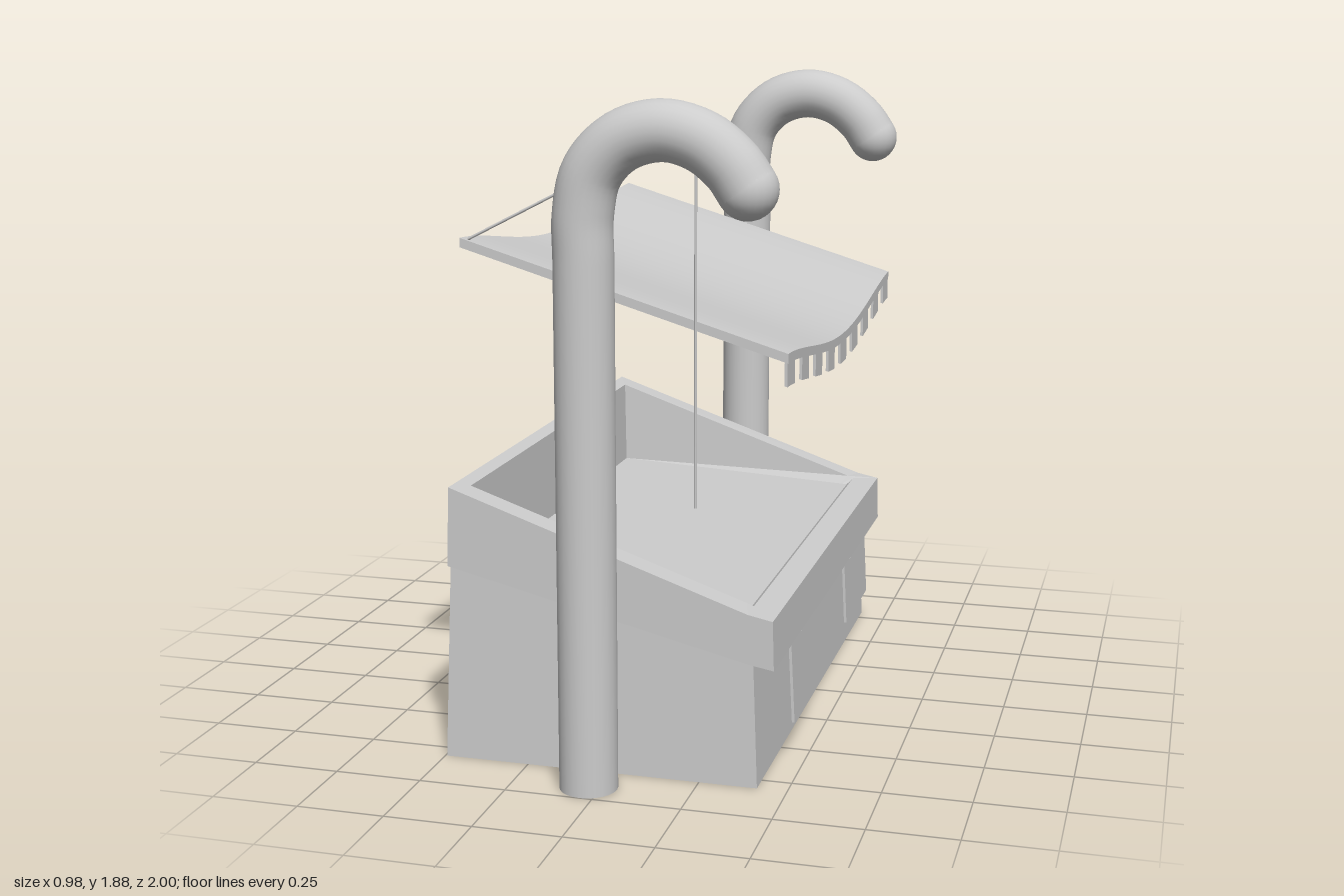
import * as THREE from 'three';

const material = new THREE.MeshStandardMaterial({ color: 0xcccccc });

function add(parent, name, geometry) {
  const mesh = new THREE.Mesh(geometry, material);
  mesh.name = name;
  parent.add(mesh);
  return mesh;
}

// Flat-shaded solid through rings, each given as a back, middle and front [x, y] plus a half width
function loft(rings) {
  const position = [];
  const index = [];
  for (const [back, mid, front, z] of rings) {
    for (const p of [back, mid, front]) position.push(p[0], p[1], z);
    for (const p of [front, mid, back]) position.push(p[0], p[1], -z);
  }
  for (let r = 0; r < rings.length - 1; r++) {
    for (let i = 0; i < 6; i++) {
      const a = r * 6 + i, b = r * 6 + (i + 1) % 6;
      index.push(a, b, b + 6, a, b + 6, a + 6);
    }
  }
  const last = (rings.length - 1) * 6;
  for (let i = 1; i < 5; i++) {
    index.push(0, i + 1, i);
    index.push(last, last + i, last + i + 1);
  }
  const indexed = new THREE.BufferGeometry();
  indexed.setAttribute('position', new THREE.Float32BufferAttribute(position, 3));
  indexed.setIndex(index);
  const geometry = indexed.toNonIndexed();
  geometry.computeVertexNormals();
  return geometry;
}

// Thin round bar between two points
function rod(parent, name, from, to, radius) {
  const a = new THREE.Vector3(...from), b = new THREE.Vector3(...to);
  const mesh = add(parent, name, new THREE.CylinderGeometry(radius, radius, a.distanceTo(b), 8));
  mesh.position.copy(a).add(b).multiplyScalar(0.5);
  mesh.quaternion.setFromUnitVectors(new THREE.Vector3(0, 1, 0), b.sub(a).normalize());
}

// Awning slope along x and sag across z, applied to any geometry
function drape(geometry) {
  const p = geometry.attributes.position;
  for (let i = 0; i < p.count; i++) {
    const across = Math.min(1, Math.abs(p.getZ(i)) / 0.795);
    const sag = 0.075 * Math.pow(Math.max(0, Math.cos(across * Math.PI / 2)), 1.5);
    p.setY(i, p.getY(i) + 1.352 - 0.302 * (p.getX(i) - 0.03) - sag);
  }
  geometry.computeVertexNormals();
  return geometry;
}

function createCounter() {
  const counter = new THREE.Group();
  counter.name = 'counter';
  // Tapered body, overhanging band, rim and tray in one skin
  add(counter, 'counterBox', loft([
    [[-0.495, 0], [0.38, 0], [0.415, 0], 0.81],
    [[-0.474, 0.57], [0.37, 0.365], [0.4, 0.357], 0.8],
    [[-0.474, 0.57], [0.39, 0.36], [0.463, 0.347], 0.825],
    [[-0.466, 0.797], [0.39, 0.5], [0.459, 0.486], 0.825],
    [[-0.43, 0.785], [0.37, 0.507], [0.388, 0.5], 0.745],
    [[-0.42, 0.525], [0.35, 0.483], [0.37, 0.482], 0.725],
  ]));
  // Two cloth tabs hanging from the front band: z start, z end, drop at each end
  for (const [z0, z1, d0, d1] of [[0.6, 0.255, 0.23, 0.218], [-0.2, -0.56, 0.188, 0.188]]) {
    const shape = new THREE.Shape([
      new THREE.Vector2(-z0, 0), new THREE.Vector2(-z0, -d0),
      new THREE.Vector2(-z1, -d1), new THREE.Vector2(-z1, 0),
    ]);
    const geometry = new THREE.ExtrudeGeometry(shape, { depth: 0.008, bevelEnabled: false });
    geometry.rotateY(Math.PI / 2);
    const tab = add(counter, 'frontTab', geometry);
    tab.position.set(0.455, 0.348, 0);
    tab.rotation.z = 0.05;
  }
  return counter;
}

function createAwning() {
  const awning = new THREE.Group();
  awning.name = 'awning';
  const sheet = new THREE.BoxGeometry(0.915, 0.026, 1.59, 1, 1, 40);
  sheet.translate(0.03, -0.013, 0);
  add(awning, 'awningSheet', drape(sheet));
  // Nine fringe tabs with gaps of equal width
  const width = 1.59 / 17;
  for (let i = -4; i <= 4; i++) {
    const tab = new THREE.BoxGeometry(0.008, 0.07, width, 1, 1, 3);
    tab.translate(0.482, -0.055, i * 2 * width);
    add(awning, 'fringeTab', drape(tab));
  }
  return awning;
}

function createCane(z) {
  const cane = new THREE.Group();
  cane.name = 'canePost';
  const path = new THREE.CatmullRomCurve3([
    [-0.034, 0], [-0.034, 0.8], [-0.034, 1.45], [-0.034, 1.58], [-0.008, 1.69], [0.07, 1.77],
    [0.18, 1.8], [0.285, 1.774], [0.365, 1.712], [0.405, 1.655],
  ].map(([x, y]) => new THREE.Vector3(x, y, 0)));
  add(cane, 'caneTube', new THREE.TubeGeometry(path, 100, 0.081, 24));
  // Rounded tip and flat foot
  add(cane, 'caneTip', new THREE.SphereGeometry(0.081, 24, 16)).position.set(0.405, 1.655, 0);
  const foot = add(cane, 'caneFoot', new THREE.CircleGeometry(0.081, 24));
  foot.rotation.x = Math.PI / 2;
  foot.position.x = -0.034;
  cane.position.z = z;
  return cane;
}

export function createModel() {
  const model = new THREE.Group();
  model.name = 'marketStall';
  model.add(createCounter(), createAwning());
  for (const side of [1, -1]) {
    model.add(createCane(side * 0.919));
    // Pin joining awning to post
    rod(model, 'awningPin', [-0.02, 1.355, side * 0.78], [-0.02, 1.355, side * 0.86], 0.008);
  }
  // Peg with the pull cord running over it
  rod(model, 'cordPeg', [0.235, 1.81, 0.795], [0.235, 1.81, 0.87], 0.008);
  rod(model, 'awningCord', [0.235, 1.812, 0.818], [-0.41, 1.485, 0.778], 0.004);
  rod(model, 'hangingCord', [0.242, 1.812, 0.818], [0.242, 0.785, 0.818], 0.004);
  return model;
}
